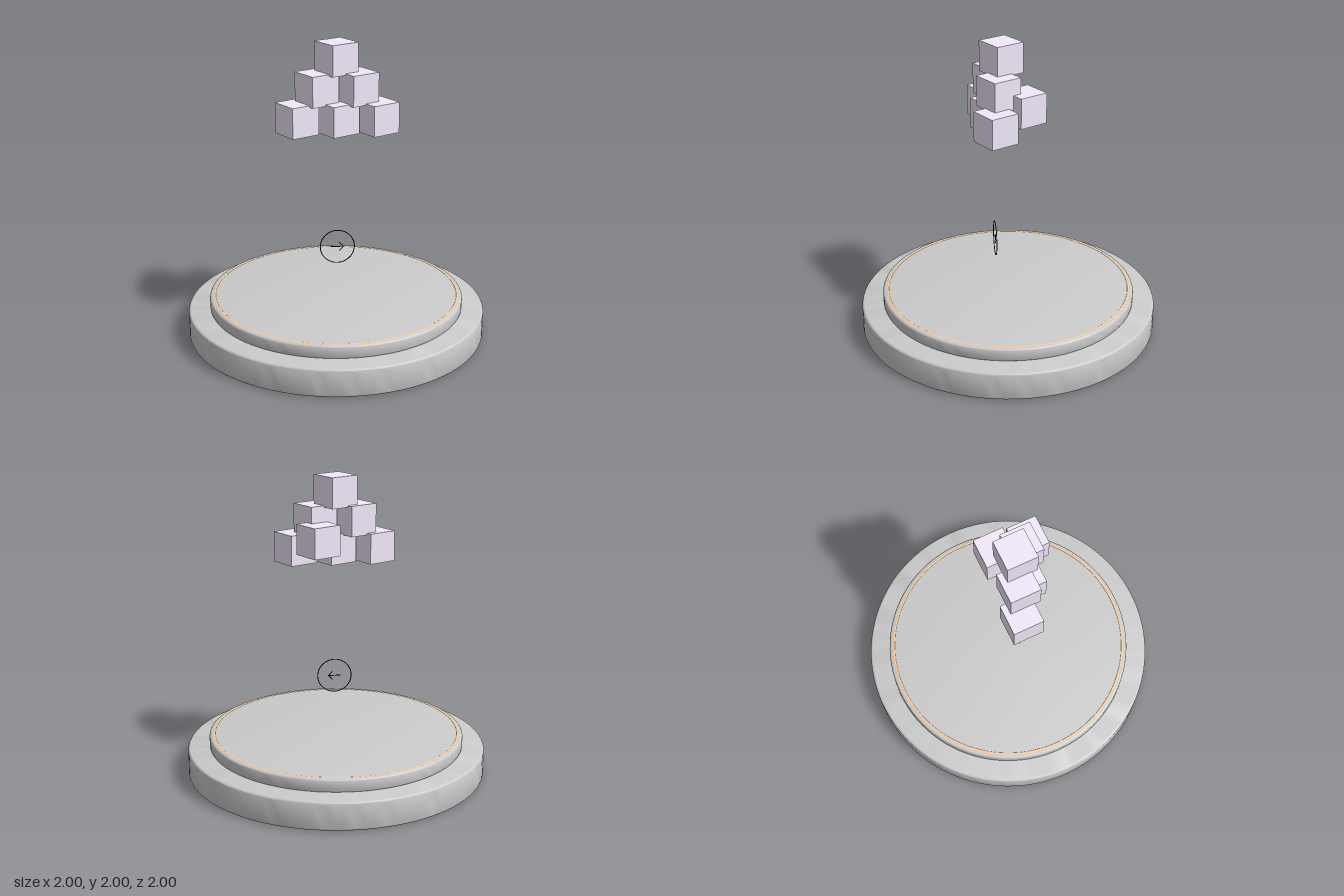
import * as THREE from 'three';
import { toCreasedNormals } from 'three/addons/utils/BufferGeometryUtils.js';

const grey = new THREE.MeshStandardMaterial({ color: 0xcccccc });
const lilac = new THREE.MeshStandardMaterial({ color: 0xf3eafc });
const amber = new THREE.MeshStandardMaterial({ color: 0xffcc99 });
const black = new THREE.MeshStandardMaterial({ color: 0x000000 });

function add(parent, name, geometry, material, x = 0, y = 0, z = 0) {
  const mesh = new THREE.Mesh(geometry, material);
  mesh.name = name;
  mesh.position.set(x, y, z);
  parent.add(mesh);
  return mesh;
}

// Round slab with softly rounded rims
function disc(radius, height, bevel) {
  const points = [new THREE.Vector2(0, 0)];
  const arc = (cy, start) => {
    for (let i = 0; i <= 5; i++) {
      const a = start + (i / 5) * Math.PI / 2;
      points.push(new THREE.Vector2(radius - bevel + bevel * Math.cos(a), cy + bevel * Math.sin(a)));
    }
  };
  arc(bevel, -Math.PI / 2);
  arc(height - bevel, 0);
  points.push(new THREE.Vector2(0, height));
  return toCreasedNormals(new THREE.LatheGeometry(points, 96), 0.6);
}

export function createModel() {
  const model = new THREE.Group();
  model.name = 'cubeDisplay';

  // Stepped round pedestal
  add(model, 'base', disc(1, 0.19, 0.018), grey);
  add(model, 'platform', disc(0.855, 0.09, 0.018), grey, 0, 0.185);

  // Glowing ring just proud of the platform top
  const trim = add(model, 'trimRing', new THREE.TorusGeometry(0.823, 0.011, 10, 128), amber, 0, 0.267);
  trim.rotation.x = Math.PI / 2;

  // Floating stack of turned cubes
  const stack = new THREE.Group();
  stack.name = 'cubeStack';
  model.add(stack);
  const cube = new THREE.BoxGeometry(0.201, 0.201, 0.201);
  const addCube = (x, y, z) => {
    add(stack, 'cube', cube, lilac, x, y, z).rotation.y = Math.PI / 6;
  };
  for (let row = 0; row < 3; row++) {
    const count = 3 - row;
    for (let i = 0; i < count; i++) {
      addCube((i - (count - 1) / 2) * 0.258 - 0.002, 1.521 + row * 0.19, 0.104 - row * 0.03);
    }
  }
  addCube(0.125, 1.604, -0.09);

  // Thin circled arrow pointing to the model's left
  const icon = new THREE.Group();
  icon.name = 'arrowIcon';
  icon.position.set(0, 0.63, 0.087);
  model.add(icon);
  const line = 0.003;
  add(icon, 'arrowCircle', new THREE.TorusGeometry(0.114, line, 6, 64), black);
  const stroke = (name, x1, y1, x2, y2) => {
    const curve = new THREE.LineCurve3(new THREE.Vector3(x1, y1, 0), new THREE.Vector3(x2, y2, 0));
    add(icon, name, new THREE.TubeGeometry(curve, 1, line, 6), black);
  };
  stroke('arrowShaft', -0.042, 0, 0.042, 0);
  for (const s of [-1, 1]) stroke('arrowHead', 0.012, s * 0.03, 0.042, 0);

  return model;
}
